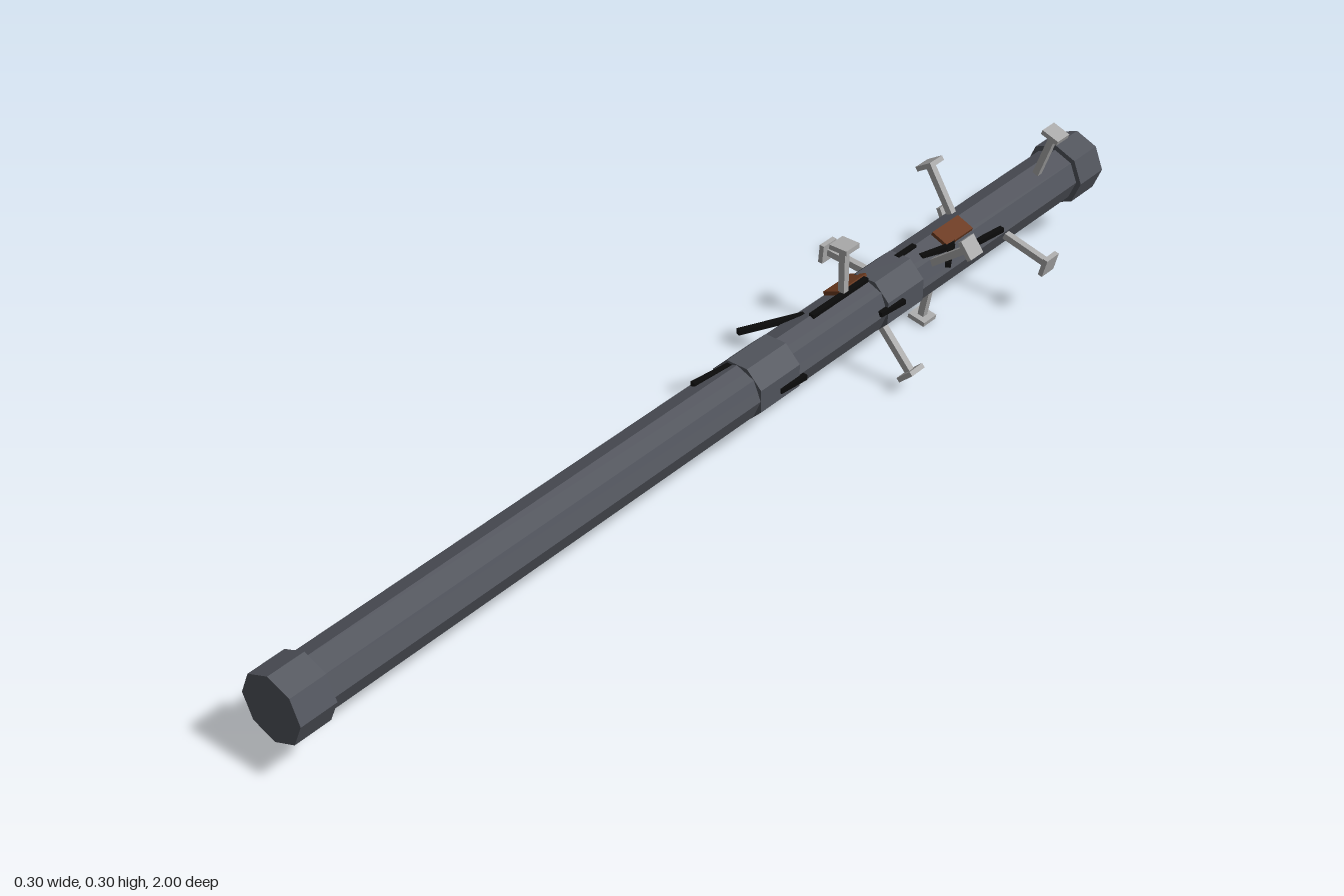
import * as THREE from 'three';

const CY = 0.15; // height of the pipe axis

function mat(name, color, flatShading = true) {
  const m = new THREE.MeshStandardMaterial({ color, flatShading });
  m.name = name;
  return m;
}

export function createModel() {
  const iron = mat('dark iron', 0x50535b);
  const steel = mat('nail steel', 0xa9a9a9);
  const rust = mat('rust brown', 0x6b3a20);
  const black = mat('black wire', 0x0b0b0b);
  const root = new THREE.Group();
  root.name = 'spikedPipe';

  const add = (name, geo, material, parent = root) => {
    const mesh = new THREE.Mesh(geo, material);
    mesh.name = name;
    parent.add(mesh);
    return mesh;
  };

  // Octagonal sections lying along z
  const section = (name, radius, z0, z1, turn = 0) => {
    const geo = new THREE.CylinderGeometry(radius, radius, z1 - z0, 8, 1, false, turn);
    geo.rotateX(Math.PI / 2);
    add(name, geo, iron).position.set(0, CY, (z0 + z1) / 2);
  };
  section('pipe', 0.05, -0.99, 0.99);
  section('frontCap', 0.06, 0.93, 1);
  section('backCap', 0.06, -1, -0.93);
  section('frontCollar', 0.055, -0.12, -0.02, Math.PI / 8);
  section('backCollar', 0.055, -0.46, -0.36, Math.PI / 8);

  // Nails: [angle around the pipe in degrees, z]
  const nails = [
    [90, -0.3], [70.6, -0.85], [37.7, -0.505], [-14.5, -0.715], [-47.8, -0.37],
    [-100.5, -0.57], [206.6, -0.78], [175, -0.44], [122, -0.643],
  ];
  for (const [deg, z] of nails) {
    const nail = new THREE.Group();
    nail.name = 'nail';
    nail.position.set(0, CY, z);
    nail.rotation.z = THREE.MathUtils.degToRad(deg - 90);
    add('nailShank', new THREE.BoxGeometry(0.0125, 0.11, 0.0125), steel, nail).position.y = 0.085;
    add('nailHead', new THREE.BoxGeometry(0.036, 0.009, 0.036), steel, nail).position.y = 0.143;
    root.add(nail);
  }

  // Rust patches lying on the upper facets
  for (const [deg, z] of [[112.5, -0.33], [67.5, -0.585]]) {
    const patch = new THREE.Group();
    patch.name = 'rustPatch';
    patch.position.set(0, CY, z);
    patch.rotation.z = THREE.MathUtils.degToRad(deg - 90);
    add('rustPlate', new THREE.BoxGeometry(0.036, 0.008, 0.075), rust, patch).position.y = 0.049;
    root.add(patch);
  }

  // Loose wire strips between two points: [x, y, z, x, y, z]
  const strips = [
    [-0.02, 0.188, -0.22, -0.073, 0.188, -0.11],
    [-0.013, 0.192, -0.04, -0.026, 0.192, 0.06],
    [0.003, 0.2, -0.36, 0.003, 0.2, -0.21],
    [0.0, 0.198, -0.5, 0.0, 0.198, -0.45],
    [0.03, 0.188, -0.57, 0.072, 0.188, -0.5],
    [0.04, 0.188, -0.56, 0.022, 0.19, -0.49],
    [0.053, 0.165, -0.69, 0.042, 0.165, -0.6],
    [0.054, 0.158, -0.4, 0.048, 0.158, -0.34],
    [0.055, 0.145, -0.13, 0.049, 0.145, -0.07],
    [-0.046, 0.125, -0.53, -0.063, 0.125, -0.48],
    [-0.03, 0.108, -0.14, -0.046, 0.108, -0.08],
    [-0.032, 0.11, -0.38, -0.046, 0.11, -0.32],
  ];
  for (const [ax, ay, az, bx, by, bz] of strips) {
    const a = new THREE.Vector3(ax, ay, az), b = new THREE.Vector3(bx, by, bz);
    const strip = add('wireStrip', new THREE.BoxGeometry(0.01, 0.009, a.distanceTo(b)), black);
    strip.position.copy(a).add(b).multiplyScalar(0.5);
    strip.lookAt(b);
  }
  return root;
}
